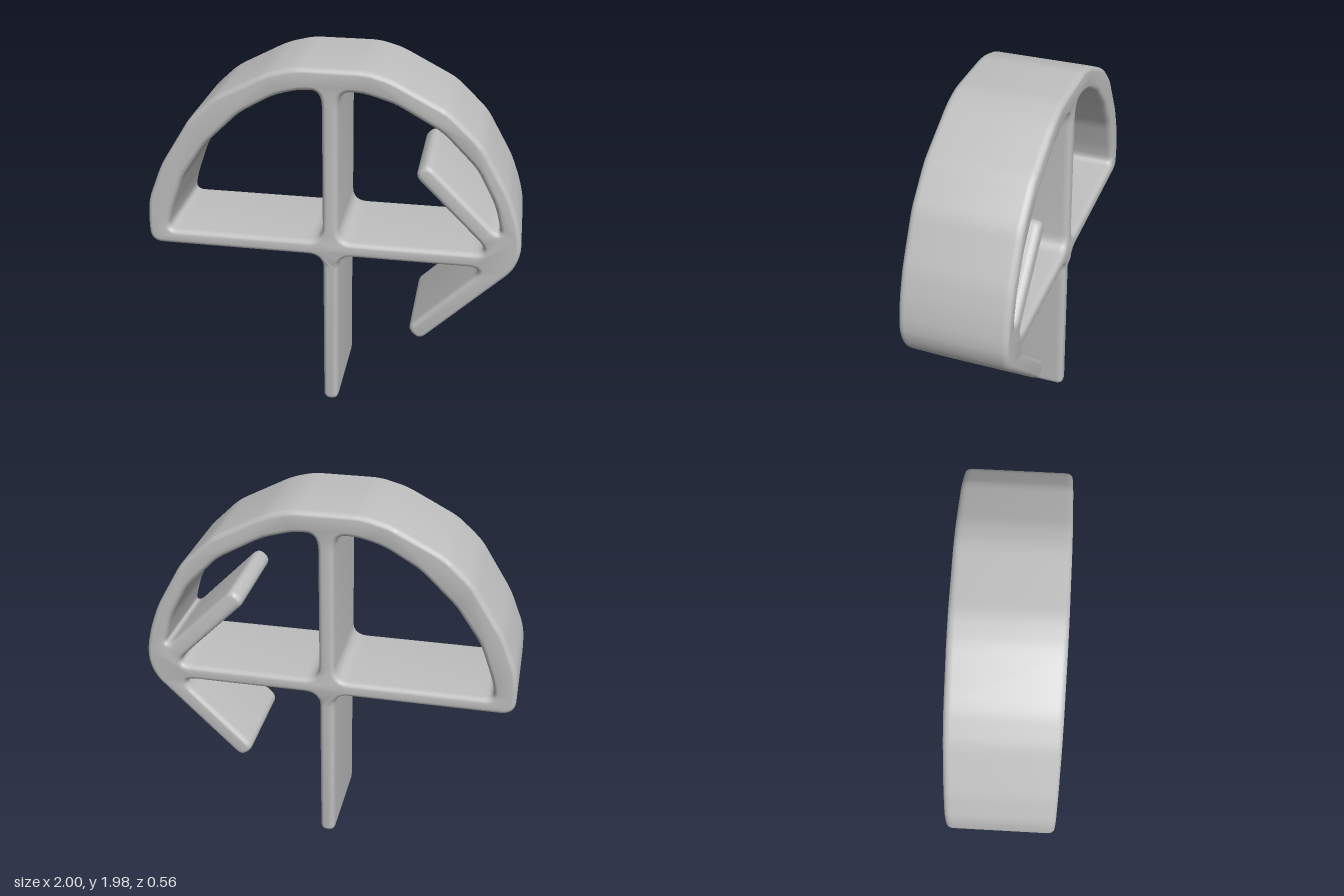
import * as THREE from 'three';
import { toCreasedNormals } from 'three/addons/utils/BufferGeometryUtils.js';

// Closed path through [x, y, corner radius] points, each corner rounded off
function roundedPath(path, points) {
  const n = points.length;
  const v = points.map(([x, y]) => new THREE.Vector2(x, y));
  points.forEach(([x, y, r = 0.05], i) => {
    const toward = (other) => {
      const d = other.clone().sub(v[i]);
      return v[i].clone().addScaledVector(d, Math.min(r / d.length(), 0.48));
    };
    const a = toward(v[(i + n - 1) % n]);
    const b = toward(v[(i + 1) % n]);
    if (i === 0) path.moveTo(a.x, a.y);
    else path.lineTo(a.x, a.y);
    path.quadraticCurveTo(x, y, b.x, b.y);
  });
  path.closePath();
  return path;
}

export function createModel() {
  const group = new THREE.Group();
  const grey = new THREE.MeshStandardMaterial({ color: 0xbfbfbf });
  grey.name = 'grey';

  // Outer silhouette: stem, lower barb, arch, crossbar
  const outline = roundedPath(new THREE.Shape(), [
    [-0.042, 0.005, 0.042], [0.042, 0.005, 0.042],
    [0.042, 0.945, 0.08], [0.827, 0.945, 0.1],
    [0.418, 0.537, 0.052], [0.4925, 0.4625, 0.052],
    [0.965, 0.935], [1.0, 1.03], [0.998, 1.12], [0.97, 1.24],
    [0.92, 1.375], [0.775, 1.63], [0.6, 1.8], [0.3, 1.955], [0.18, 1.987],
    [-0.18, 1.987], [-0.32, 1.95], [-0.6, 1.805], [-0.735, 1.68],
    [-0.91, 1.4], [-0.99, 1.2], [-1.0, 1.1], [-1.0, 0.945, 0.08],
    [-0.042, 0.945, 0.08],
  ]);

  // Left opening under the arch
  const leftOpening = roundedPath(new THREE.Path(), [
    [-0.89, 1.03, 0.05], [-0.042, 1.03, 0.08], [-0.042, 1.87, 0.09],
    [-0.16, 1.867], [-0.29, 1.83], [-0.47, 1.725], [-0.66, 1.54],
    [-0.795, 1.34], [-0.87, 1.13],
  ]);

  // Right opening, cut around the upper barb
  const rightOpening = roundedPath(new THREE.Path(), [
    [0.042, 1.03, 0.08], [0.85, 1.03, 0.1],
    [0.43, 1.45, 0.05], [0.5, 1.52, 0.05],
    [0.86, 1.16, 0.04], [0.89, 1.16, 0.03], [0.85, 1.31], [0.75, 1.5],
    [0.57, 1.685], [0.33, 1.82], [0.17, 1.867], [0.042, 1.87, 0.09],
  ]);
  outline.holes.push(leftOpening, rightOpening);

  // Wide band with softened rims
  const depth = 0.565, rim = 0.036, bevel = 0.025;
  const geometry = new THREE.ExtrudeGeometry(outline, {
    depth: depth - 2 * rim, curveSegments: 6, bevelEnabled: true,
    bevelThickness: rim, bevelSize: bevel, bevelOffset: -bevel, bevelSegments: 4,
  });
  geometry.translate(0, 0, -(depth - 2 * rim) / 2);

  // The lower stem is slightly narrower than the rest
  const p = geometry.attributes.position;
  for (let i = 0; i < p.count; i++) {
    if (Math.abs(p.getX(i)) < 0.05 && p.getY(i) < 0.9) p.setZ(i, p.getZ(i) * 0.96);
  }

  const frame = new THREE.Mesh(toCreasedNormals(geometry, 0.8), grey);
  frame.name = 'archAndArrowFrame';
  group.add(frame);
  return group;
}
